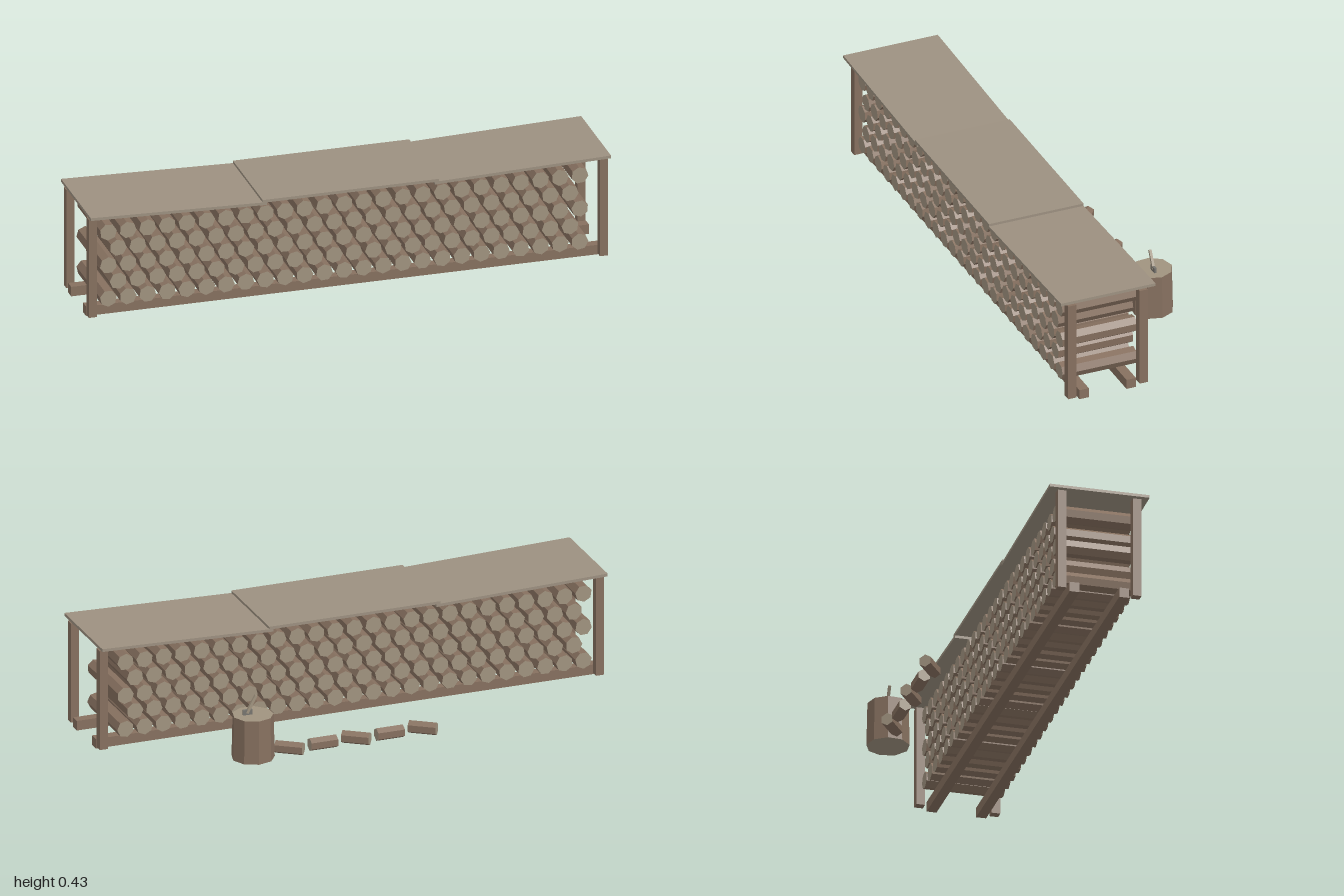
import * as THREE from 'three';

export function createModel() {
  const model = new THREE.Group();
  model.name = 'firewoodShelter';

  const mat = (name, color) => {
    const m = new THREE.MeshStandardMaterial({ color });
    m.name = name;
    return m;
  };
  const bark = mat('bark', 0x86705f);
  const cutWood = mat('cutWood', 0xa0937f);
  const roofing = mat('roofing', 0x9c9080);
  const steel = mat('steel', 0x77746e);

  const add = (parent, name, geometry, material, x, y, z) => {
    const mesh = new THREE.Mesh(geometry, material);
    mesh.name = name;
    mesh.position.set(x, y, z);
    parent.add(mesh);
    return mesh;
  };
  const group = (name) => {
    const g = new THREE.Group();
    g.name = name;
    model.add(g);
    return g;
  };
  // Faceted round timber with flat normals
  const timber = (rTop, rBottom, length, sides, start = 0) => {
    const g = new THREE.CylinderGeometry(rTop, rBottom, length, sides, 1, false, start).toNonIndexed();
    g.computeVertexNormals();
    return g;
  };
  const barkAndEnds = [bark, cutWood, cutWood];
  const midZ = 0.145;

  // Frame: two ground rails and four corner posts
  const frame = group('frame');
  const railGeo = new THREE.BoxGeometry(1.99, 0.038, 0.038);
  const postGeo = new THREE.BoxGeometry(0.032, 0.393, 0.033);
  for (const s of [-1, 1]) {
    add(frame, 'groundRail', railGeo, bark, 0, 0.019, midZ + s * 0.0945);
    for (const x of [-0.982, 0.982]) {
      add(frame, 'cornerPost', postGeo, bark, x, 0.2085, midZ + s * 0.1435);
    }
  }

  // Roof: a level middle panel and two outer panels rising outward
  const roof = group('roof');
  for (const s of [-1, 0, 1]) {
    const panel = add(roof, 'roofPanel', new THREE.BoxGeometry(0.678, 0.011, 0.38),
      roofing, s * 0.661, 0.409, midZ);
    panel.rotation.z = s * 0.03;
  }

  // Stacked logs in five staggered rows
  const stack = group('logStack');
  const logGeo = timber(0.033, 0.033, 0.3, 7);
  logGeo.rotateX(Math.PI / 2);
  for (let row = 0; row < 5; row++) {
    const odd = row % 2;
    for (let i = 0; i < 25 - odd; i++) {
      const log = add(stack, 'log', logGeo, barkAndEnds,
        -0.92 + (i + odd * 0.5) * 0.0755, 0.076 + row * 0.0665, midZ);
      log.rotation.z = i * 0.7 + row * 1.1;
    }
  }

  // Chopping block
  add(model, 'choppingBlock', timber(0.077, 0.081, 0.17, 9, 0.262), barkAndEnds, 0.487, 0.085, -0.255);

  // Hatchet stuck in the block
  const hatchet = group('hatchet');
  const handle = add(hatchet, 'handle', new THREE.BoxGeometry(0.01, 0.075, 0.01), cutWood, 0.492, 0.209, -0.252);
  handle.rotation.z = 0.5;
  add(hatchet, 'blade', new THREE.BoxGeometry(0.036, 0.022, 0.009), steel, 0.508, 0.179, -0.252);

  // Loose split pieces lying in a line beside the block
  const loose = group('loosePieces');
  const pieceGeo = timber(0.025, 0.025, 0.105, 6);
  pieceGeo.rotateZ(Math.PI / 2);
  for (let i = 0; i < 5; i++) {
    const piece = add(loose, 'loosePiece', pieceGeo, barkAndEnds, -0.177 + i * 0.132, 0.0245, -0.277);
    piece.rotation.set(Math.PI / 6, i % 2 ? 0 : -0.62, 0, 'YXZ');
  }

  return model;
}
